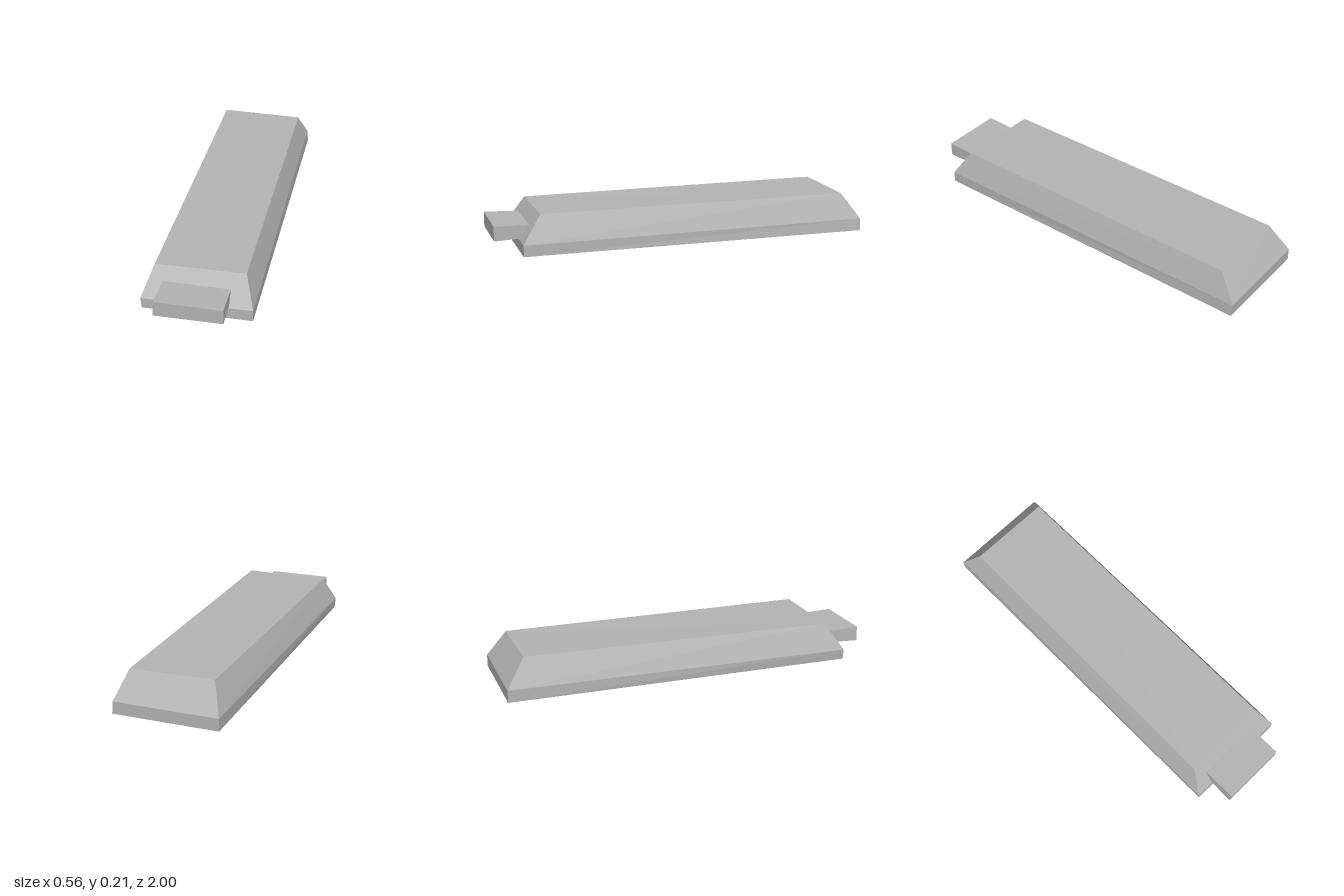
import * as THREE from 'three';

// Lofts four-cornered rings, lowest first; corners run front right, front left, back left, back right.
function loft(rings) {
  const positions = [];
  const quad = (a, b, c, d) => positions.push(...a, ...b, ...c, ...a, ...c, ...d);
  for (let r = 0; r < rings.length - 1; r++) {
    const low = rings[r], high = rings[r + 1];
    for (let i = 0; i < 4; i++) {
      const j = (i + 1) % 4;
      quad(low[i], low[j], high[j], high[i]);
    }
  }
  const [a, b, c, d] = rings[0];
  quad(d, c, b, a);
  quad(...rings[rings.length - 1]);
  const geometry = new THREE.BufferGeometry();
  geometry.setAttribute('position', new THREE.Float32BufferAttribute(positions, 3));
  geometry.computeVertexNormals();
  return geometry;
}

export function createModel() {
  const group = new THREE.Group();
  const grey = new THREE.MeshStandardMaterial({ color: 0xb4b4b4 });
  grey.name = 'grey';

  const add = (name, rings) => {
    const mesh = new THREE.Mesh(loft(rings), grey);
    mesh.name = name;
    group.add(mesh);
  };

  // Long body: low upright rim, then bevels up to a slightly uneven top
  add('body', [
    [[-0.276, 0, 0.87], [0.28, 0, 0.87], [0.28, 0, -1], [-0.274, 0, -1]],
    [[-0.282, 0.056, 0.87], [0.28, 0.06, 0.87], [0.275, 0.065, -1], [-0.274, 0.065, -1]],
    [[-0.229, 0.201, 0.772], [0.229, 0.205, 0.772], [0.228, 0.205, -0.9], [-0.215, 0.212, -0.9]],
  ]);

  // Flat tab projecting from the front bevel, its back end sunk into the body
  add('frontTab', [
    [[-0.185, 0.062, 1], [0.16, 0.062, 1], [0.16, 0.071, 0.78], [-0.182, 0.071, 0.78]],
    [[-0.182, 0.142, 1], [0.161, 0.14, 1], [0.16, 0.134, 0.78], [-0.18, 0.134, 0.78]],
  ]);

  return group;
}
